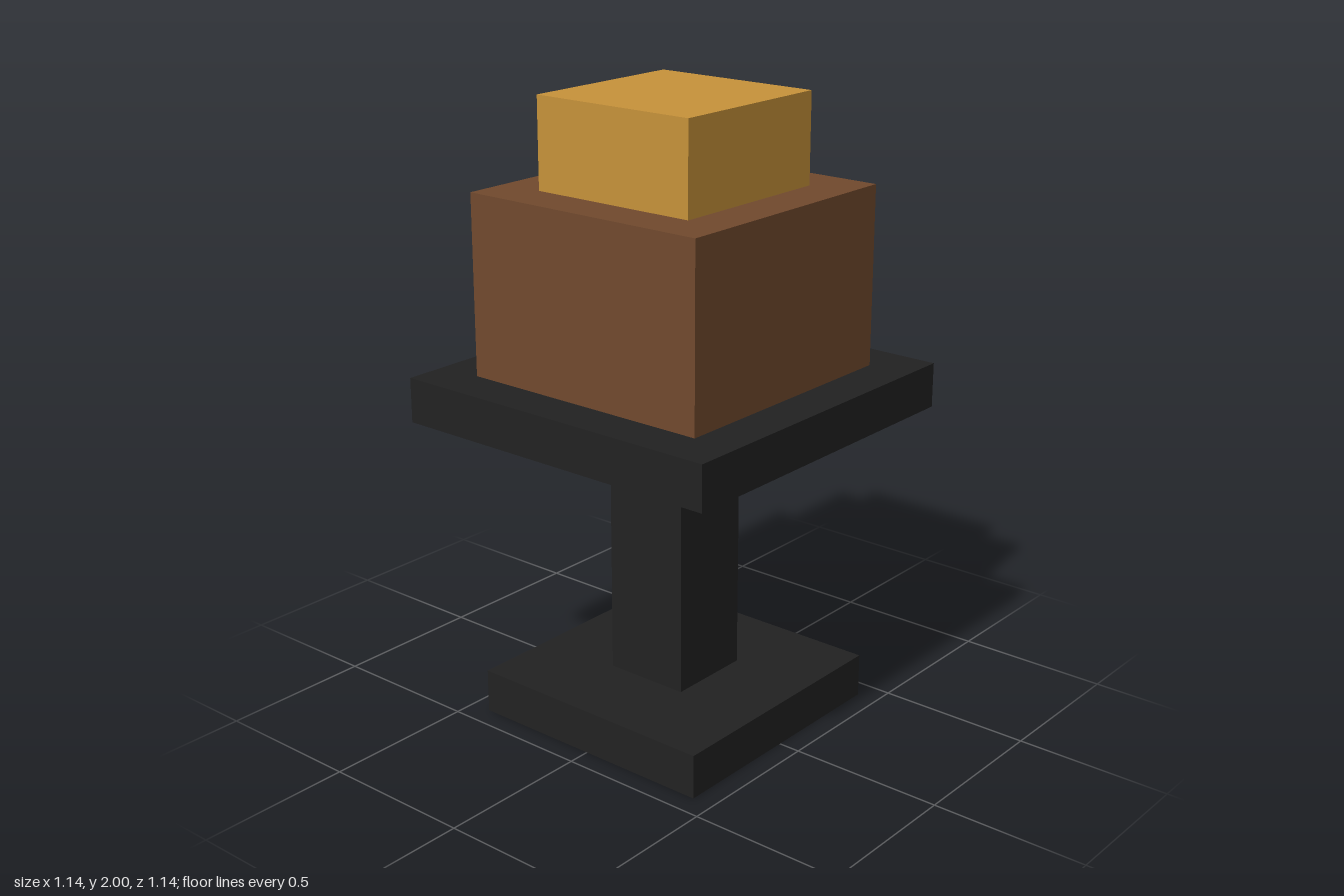
import * as THREE from 'three';

const U = 1 / 7; // all parts sit on a grid of 14 units in height

function material(name, color) {
  const m = new THREE.MeshStandardMaterial({ color, side: THREE.DoubleSide });
  m.name = name;
  return m;
}

export function createModel() {
  const group = new THREE.Group();
  group.name = 'pedestal';
  const black = material('black', 0x222222);
  const brown = material('brown', 0x724a2e);
  const gold = material('gold', 0xc8933a);

  // square block of a given width, spanning y0 to y1 in grid units
  function block(name, width, y0, y1, mat, openBottom = false) {
    const geo = new THREE.BoxGeometry(width * U, (y1 - y0) * U, width * U);
    if (openBottom) {
      // leave out the downward face (fourth side of the box)
      const index = Array.from(geo.index.array);
      index.splice(18, 6);
      geo.setIndex(index);
      geo.clearGroups();
    }
    const mesh = new THREE.Mesh(geo, mat);
    mesh.name = name;
    mesh.position.y = ((y0 + y1) / 2) * U;
    group.add(mesh);
  }

  block('base', 6, 0, 1, black, true); // hollow foot, open underneath
  block('column', 2, 1, 7, black);
  block('plate', 8, 7, 8, black);
  block('body', 6, 8, 12, brown);
  block('cap', 4, 12, 14, gold);

  return group;
}
